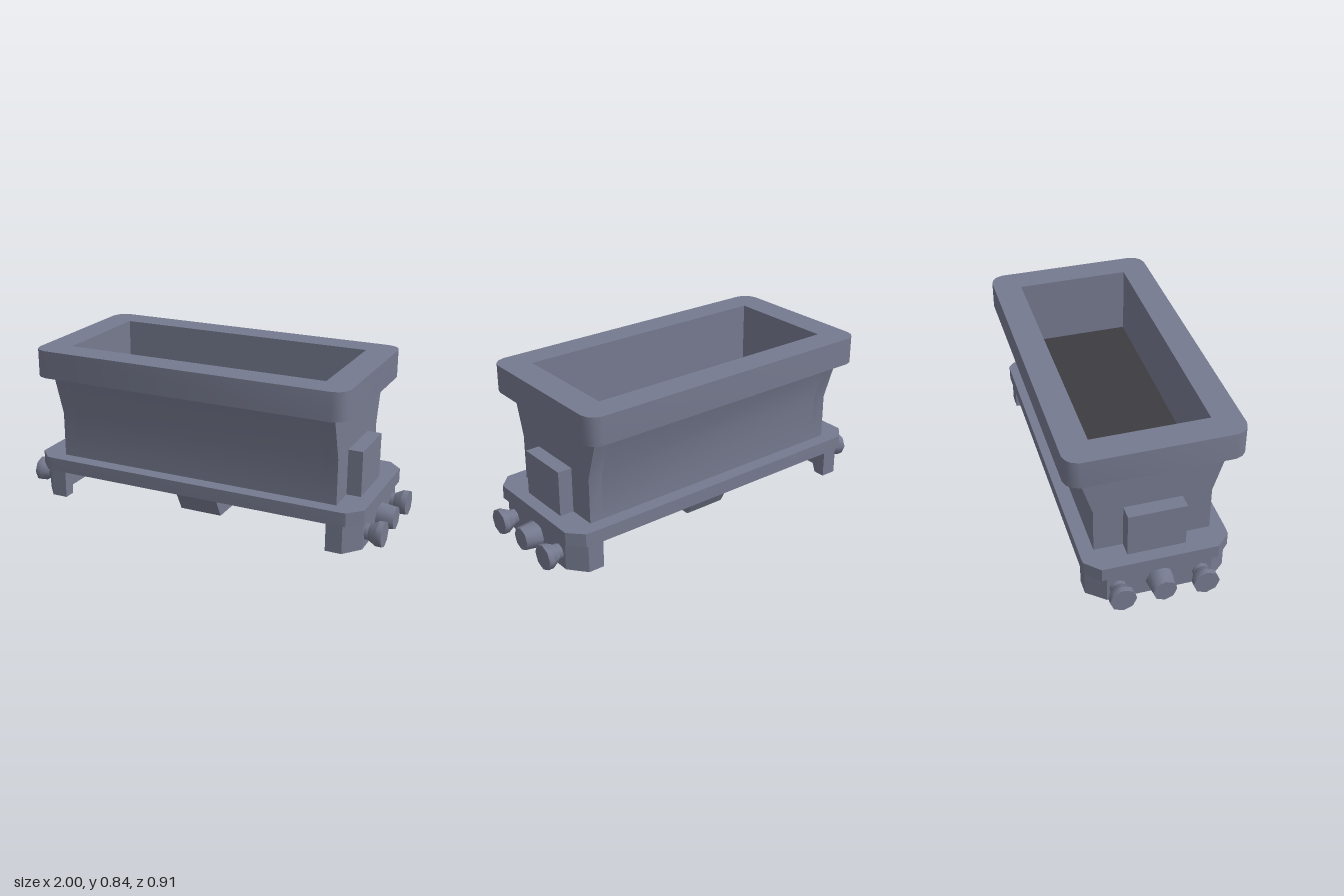
import * as THREE from 'three';
import { toCreasedNormals } from 'three/addons/utils/BufferGeometryUtils.js';

const shell = new THREE.MeshStandardMaterial({ color: 0x767a8f });
shell.name = 'slate grey';
const dark = new THREE.MeshStandardMaterial({ color: 0x3d3c41 });
dark.name = 'dark floor';

const toPoints = (pts) => pts.map(([a, b]) => new THREE.Vector2(a, b));

function extrude(pts, depth, hole) {
  const shape = new THREE.Shape(toPoints(pts));
  if (hole) shape.holes.push(new THREE.Path(toPoints(hole)));
  return new THREE.ExtrudeGeometry(shape, { depth, bevelEnabled: false });
}

// Plan outline raised from y0 to y1
function slab(pts, y0, y1, hole) {
  const g = extrude(pts, y1 - y0, hole).rotateX(-Math.PI / 2).translate(0, y0, 0);
  return toCreasedNormals(g, 0.6);
}

// Cross-section in (z, y) swept along x from x0 to x1
function sweep(pts, x0, x1) {
  const g = extrude(pts, x1 - x0).rotateY(Math.PI / 2).translate(x0, 0, 0);
  return toCreasedNormals(g, 0.6);
}

// Rectangle whose corners are cut; corner holds offsets from the corner for +x +y
function cutRect(w, d, corner) {
  const c = corner.map(([a, b]) => [w - a, d - b]);
  const r = [...c].reverse();
  return [
    ...c,
    ...r.map(([a, b]) => [-a, b]),
    ...c.map(([a, b]) => [-a, -b]),
    ...r.map(([a, b]) => [a, -b]),
  ];
}
const rect = (w, d) => cutRect(w, d, [[0, 0]]);

export function createModel() {
  const model = new THREE.Group();
  model.name = 'openWagon';
  const add = (parent, name, geometry, material = shell) => {
    const mesh = new THREE.Mesh(geometry, material);
    mesh.name = name;
    parent.add(mesh);
    return mesh;
  };

  // Base plate and thick top rim
  add(model, 'basePlate', slab(cutRect(0.917, 0.368, [[0, 0.075], [0.07, 0.003], [0.1, 0]]), 0.15, 0.222));
  add(model, 'rim', slab(
    cutRect(0.85, 0.44, [[0, 0.07], [0.012, 0.035], [0.035, 0.012], [0.07, 0]]),
    0.695, 0.84, rect(0.7, 0.295)));

  // Flared tub: hollow middle and solid end walls
  const floorY = 0.47;
  const outer = [[-0.368, 0.695], [-0.295, 0.46], [-0.295, 0.222], [0.295, 0.222], [0.295, 0.46], [0.368, 0.695]];
  const pocket = [[0.295, 0.695], [0.295, floorY], [-0.295, floorY], [-0.295, 0.695]];
  add(model, 'tub', sweep([...outer, ...pocket], -0.7, 0.7));
  for (const s of [-1, 1]) {
    add(model, s > 0 ? 'leftEndWall' : 'rightEndWall', sweep(outer, s > 0 ? 0.7 : -0.775, s > 0 ? 0.775 : -0.7));
  }
  add(model, 'tubFloor', new THREE.BoxGeometry(1.4, 0.006, 0.588).translate(0, floorY + 0.003, 0), dark);

  // Both ends: step box, bumper beam and three buffers
  const beam = [
    [0.745, 0.355], [0.83, 0.355], [0.905, 0.265], [0.905, -0.265], [0.83, -0.355], [0.745, -0.355],
    [0.745, -0.29], [0.81, -0.21], [0.81, 0.21], [0.745, 0.29],
  ];
  for (const s of [-1, 1]) {
    const end = new THREE.Group();
    end.name = s > 0 ? 'leftEnd' : 'rightEnd';
    end.rotation.y = s > 0 ? 0 : Math.PI;
    model.add(end);
    add(end, 'endBox', new THREE.BoxGeometry(0.08, 0.238, 0.295).translate(0.81, 0.34, 0));
    add(end, 'bumperBeam', slab(beam, 0, 0.15));

    const bar = (rTip, rRoot, x0, x1, z) => toCreasedNormals(
      new THREE.CylinderGeometry(rTip, rRoot, x1 - x0, 8)
        .rotateZ(-Math.PI / 2).translate((x0 + x1) / 2, 0.075, z), 0.9);
    add(end, 'middleBuffer', bar(0.06, 0.073, 0.89, 0.993, 0));
    for (const z of [-0.209, 0.209]) {
      add(end, 'bufferNeck', bar(0.067, 0.043, 0.925, 0.968, z));
      add(end, 'bufferStem', bar(0.043, 0.043, 0.88, 0.925, z));
      add(end, 'bufferHead', bar(0.067, 0.067, 0.968, 0.997, z));
    }
  }

  // Underside: tapered block across a flat ring
  add(model, 'underBlock', sweep([[-0.21, 0], [0.21, 0], [0.29, 0.15], [-0.29, 0.15]], -0.115, 0.115));
  add(model, 'underRing', slab(
    cutRect(0.26, 0.19, [[0, 0.08], [0.08, 0]]), 0.078, 0.15,
    cutRect(0.205, 0.135, [[0, 0.06], [0.06, 0]])));

  // The whole wagon sits slightly turned
  model.rotation.y = -0.0165;
  const root = new THREE.Group();
  root.name = 'wagon';
  root.add(model);
  return root;
}
